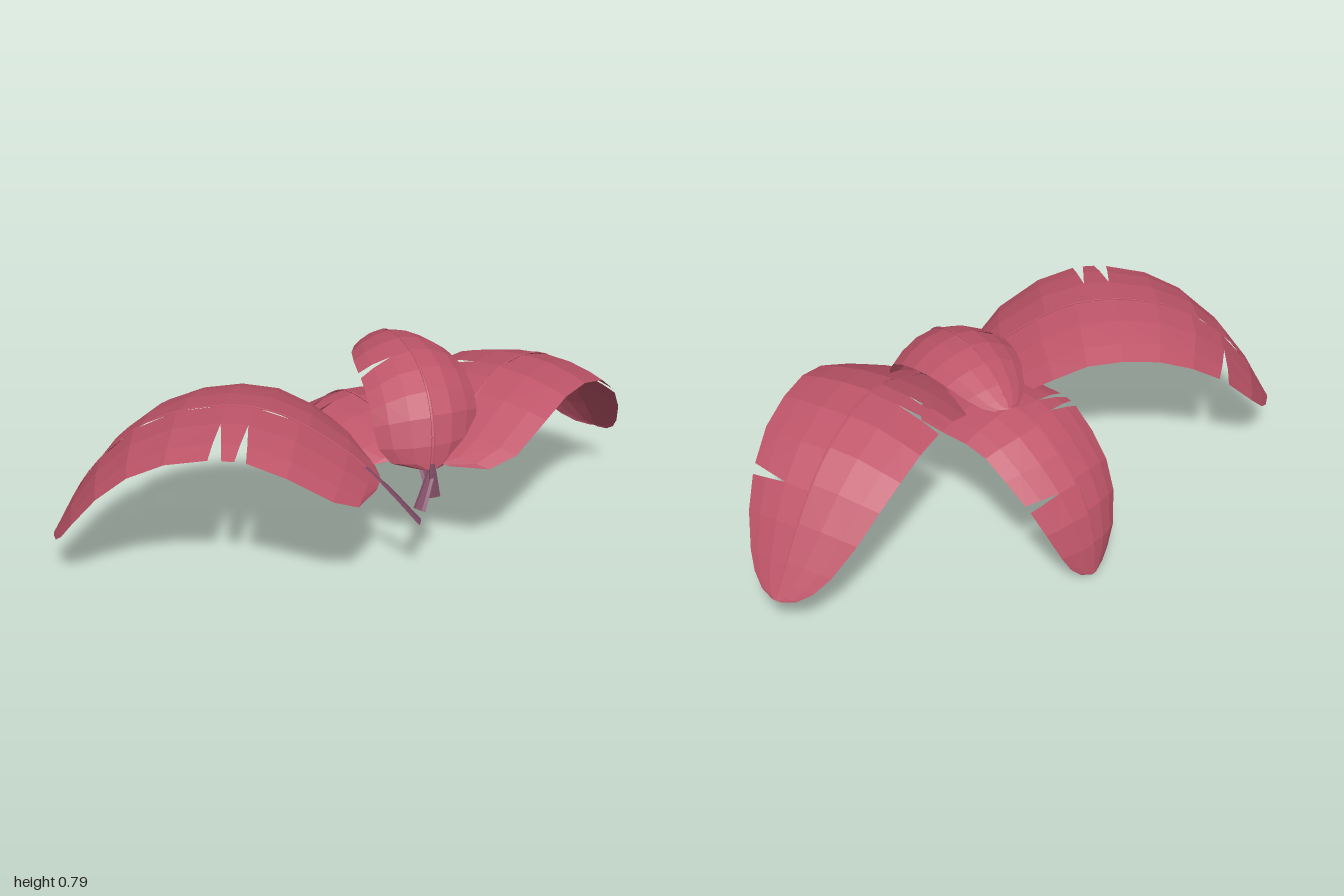
import * as THREE from 'three';

const leafPink = new THREE.MeshStandardMaterial({ color: 0xbf5569, side: THREE.DoubleSide, flatShading: true });
leafPink.name = 'leafPink';
const stemPurple = new THREE.MeshStandardMaterial({ color: 0x7f4c64, side: THREE.DoubleSide, flatShading: true });
stemPurple.name = 'stemPurple';

// half width of a blade along its length, as a share of the widest point
const PROFILE = [[0, 0.2], [0.03, 0.7], [0.1, 0.92], [0.22, 1], [0.4, 1], [0.6, 0.94],
  [0.75, 0.81], [0.87, 0.64], [0.95, 0.42], [0.985, 0.25], [1, 0.06]];
function profile(s) {
  for (let i = 1; i < PROFILE.length; i++) {
    const [a, wa] = PROFILE[i - 1], [b, wb] = PROFILE[i];
    if (s <= b) return wa + (wb - wa) * (s - a) / (b - a);
  }
  return PROFILE[PROFILE.length - 1][1];
}

// one half of the blade, split into sections by wedge-shaped tears
function halfBlade(leaf, curve, side, flat, tears) {
  const cols = [0, 0.4, 0.75, 1];
  const pos = [], index = [];
  const point = (s, u) => {
    const t = leaf.start + (1 - leaf.start) * s;
    const p = curve.getPointAt(t);
    const normal = curve.getTangentAt(t).cross(flat).normalize();
    const share = profile(s);
    p.addScaledVector(flat, side * u * share * leaf.width);
    p.addScaledVector(normal, -leaf.droop * share * u * u);
    p.y += side * u * share * leaf.roll;
    return p;
  };
  const cuts = [[0, 0], ...tears, [1, 0]];
  for (let k = 0; k + 1 < cuts.length; k++) {
    const [a, gapA] = cuts[k], [b, gapB] = cuts[k + 1];
    const steps = [0];
    if (a === 0) steps.push(0.03 / b, 0.1 / b);
    const rows = Math.max(1, Math.round((b - a) * 9));
    for (let i = 1; i <= rows; i++) {
      const f = i / rows;
      if (a + f * (b - a) > 0.13) steps.push(f);
    }
    if (b === 1) steps.splice(steps.length - 1, 0, (0.95 - a) / (1 - a), (0.985 - a) / (1 - a));
    const base = pos.length / 3, n = cols.length;
    steps.forEach((f, r) => {
      cols.forEach((u, c) => {
        const open = Math.max(0, (u - 0.4) / 0.6) / 2;
        const s0 = a + gapA * open, s1 = b - gapB * open;
        pos.push(...point(s0 + (s1 - s0) * f, u).toArray());
        if (r && c) {
          // wound so that the upper face is the front
          const i = base + r * n + c;
          if (side > 0) index.push(i - n - 1, i, i - 1, i - n - 1, i - n, i);
          else index.push(i - n - 1, i - 1, i, i - n - 1, i, i - n);
        }
      });
    });
  }
  const geo = new THREE.BufferGeometry();
  geo.setAttribute('position', new THREE.Float32BufferAttribute(pos, 3));
  geo.setIndex(index);
  geo.computeVertexNormals();
  return geo;
}

// flat ribbon stem that tapers into the thin midrib
function stemAndRib(leaf, curve, flat) {
  const segs = 30, sides = 6;
  const geo = new THREE.TubeGeometry(curve, segs, 1, sides);
  const p = geo.attributes.position, v = new THREE.Vector3();
  for (let i = 0; i < p.count; i++) {
    const t = Math.floor(i / (sides + 1)) / segs;
    const c = curve.getPointAt(t);
    const onStem = t < leaf.start;
    const across = onStem
      ? THREE.MathUtils.lerp(leaf.stem, 0.014, t / leaf.start)
      : THREE.MathUtils.lerp(0.008, 0.001, (t - leaf.start) / (1 - leaf.start));
    const thick = onStem ? 0.005 : across * 0.6;
    v.fromBufferAttribute(p, i).sub(c);
    const side = v.dot(flat);
    v.addScaledVector(flat, -side).multiplyScalar(thick).addScaledVector(flat, side * across).add(c);
    p.setXYZ(i, v.x, v.y, v.z);
  }
  geo.computeVertexNormals();
  const split = Math.round((leaf.start + 0.03) * segs) * sides * 6;
  geo.addGroup(0, split, 0);
  geo.addGroup(split, geo.index.count - split, 1);
  return geo;
}

// midrib paths run from the foot of the stem to the tip; tears are [place, opening]
const LEAVES = [
  {
    name: 'frontLeaf', width: 0.31, droop: 0.06, roll: 0.014, start: 0.125, stem: 0.022,
    path: [[0.435, 0.28, 0.165], [0.32, 0.43, 0.235], [0.2, 0.555, 0.31], [0, 0.685, 0.44], [-0.2, 0.69, 0.575],
      [-0.38, 0.61, 0.7], [-0.53, 0.43, 0.82], [-0.635, 0.175, 0.925]],
    plus: [[0.35, 0.03], [0.415, 0.035]], minus: [[0.73, 0.04]],
  },
  {
    name: 'backLeaf', width: 0.287, droop: 0.05, roll: -0.025, start: 0.12, stem: 0.026,
    path: [[0.44, 0.335, 0.175], [0.41, 0.48, 0.04], [0.395, 0.56, -0.1], [0.385, 0.65, -0.28], [0.375, 0.665, -0.48],
      [0.375, 0.595, -0.68], [0.385, 0.44, -0.83], [0.4, 0.17, -1]],
    plus: [[0.3, 0.03], [0.36, 0.03]], minus: [[0.7, 0.03]],
  },
  {
    name: 'sideLeaf', width: 0.23, droop: 0.06, roll: 0, start: 0.12, stem: 0.02,
    path: [[0.42, 0.36, 0.09], [0.36, 0.45, 0.07], [0.25, 0.505, 0.02], [0.05, 0.54, -0.03], [-0.1, 0.53, -0.07],
      [-0.23, 0.45, -0.11], [-0.34, 0.33, -0.14], [-0.405, 0.17, -0.16], [-0.425, 0.005, -0.18]],
    plus: [[0.36, 0.03], [0.42, 0.03]], minus: [[0.67, 0.03]],
  },
  {
    name: 'topLeaf', width: 0.195, droop: 0.08, roll: 0, start: 0.11, stem: 0.024,
    path: [[0.44, 0.35, 0.09], [0.428, 0.48, 0.09], [0.415, 0.58, 0.07], [0.36, 0.7, 0.03], [0.25, 0.775, -0.04],
      [0.12, 0.797, -0.11], [0, 0.77, -0.18], [-0.12, 0.695, -0.26]],
    plus: [[0.54, 0.04]], minus: [],
  },
];

export function createModel() {
  const model = new THREE.Group();
  model.name = 'leafCluster';
  for (const leaf of LEAVES) {
    const pts = leaf.path.map(q => new THREE.Vector3(...q));
    const curve = new THREE.CatmullRomCurve3(pts, false, 'centripetal');
    const dir = pts[pts.length - 1].clone().sub(pts[0]);
    const flat = new THREE.Vector3(dir.z, 0, -dir.x).normalize();
    const group = new THREE.Group();
    group.name = leaf.name;
    const parts = [
      ['bladePlusHalf', halfBlade(leaf, curve, 1, flat, leaf.plus), leafPink],
      ['bladeMinusHalf', halfBlade(leaf, curve, -1, flat, leaf.minus), leafPink],
      ['stemAndMidrib', stemAndRib(leaf, curve, flat), [stemPurple, leafPink]],
    ];
    for (const [name, geo, mat] of parts) {
      const mesh = new THREE.Mesh(geo, mat);
      mesh.name = name;
      group.add(mesh);
    }
    model.add(group);
  }
  return model;
}
